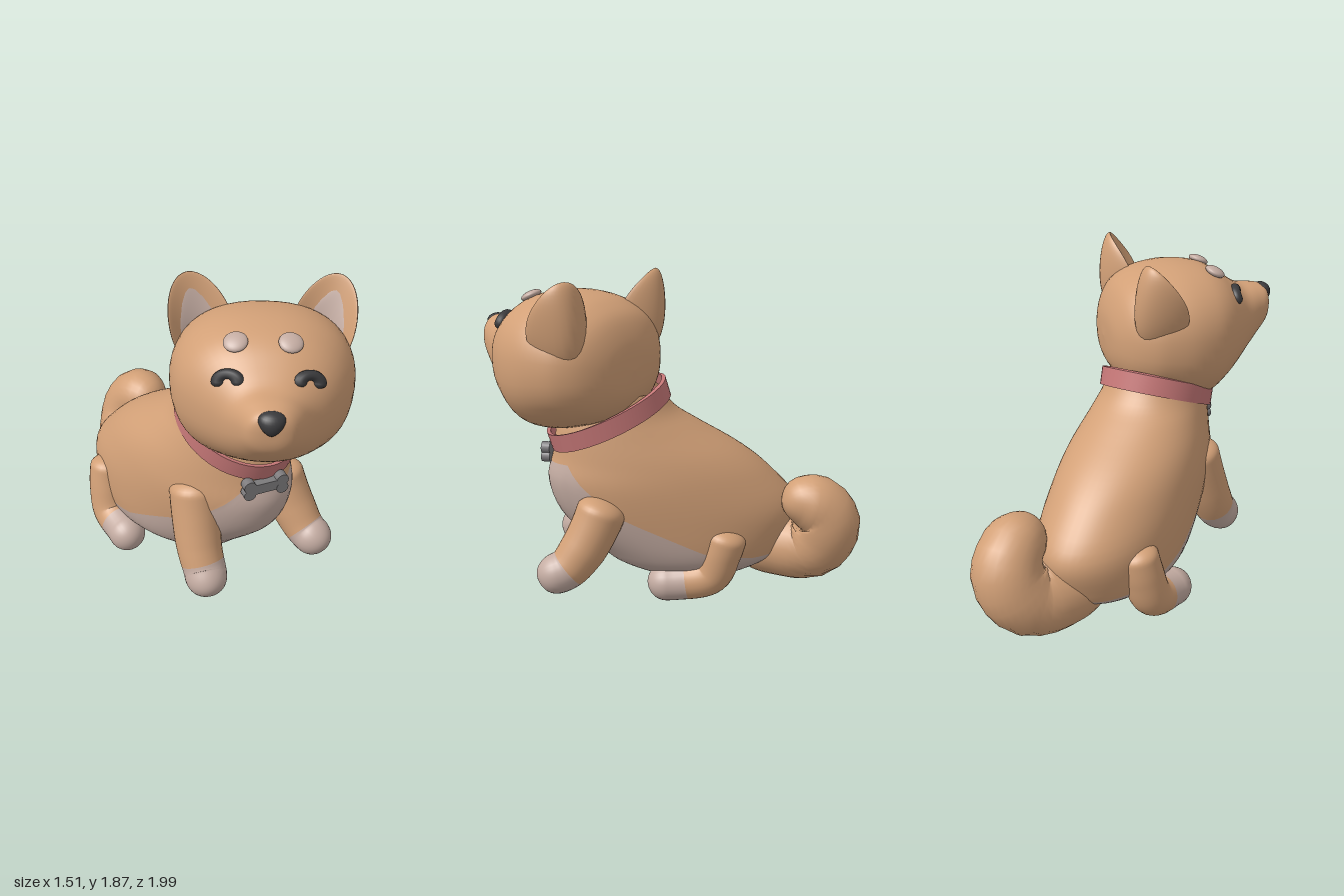
import * as THREE from 'three';
import { toCreasedNormals } from 'three/addons/utils/BufferGeometryUtils.js';

const FUR = 0xd2a077, PALE = 0xc4aca2, DARK = 0x3a3a3c, PINK = 0xc77878, METAL = 0x7c7a7c;
const TAU = Math.PI * 2;
// Horizontal axes of the turned body: U runs tail to chest, V across
const U = new THREE.Vector3(Math.SQRT1_2, 0, Math.SQRT1_2);
const V = new THREE.Vector3(Math.SQRT1_2, 0, -Math.SQRT1_2);
const BODY_OFFSET = -0.078;

export function createModel() {
  const root = new THREE.Group();

  function add(name, geometry, color, parent = root) {
    const mesh = new THREE.Mesh(geometry, new THREE.MeshStandardMaterial({ color, side: THREE.DoubleSide }));
    mesh.name = name;
    parent.add(mesh);
    return mesh;
  }

  // Closed rings from place(t, angle), t running 0..1
  function loft(place, rows, cols) {
    const pos = [], idx = [];
    for (let i = 0; i <= rows; i++)
      for (let j = 0; j < cols; j++) pos.push(...place(i / rows, (j / cols) * TAU).toArray());
    for (let i = 0; i < rows; i++)
      for (let j = 0; j < cols; j++) {
        const k = (j + 1) % cols, a = i * cols + j, b = i * cols + k;
        idx.push(a, b, b + cols, a, b + cols, a + cols);
      }
    const g = new THREE.BufferGeometry();
    g.setAttribute('position', new THREE.Float32BufferAttribute(pos, 3));
    g.setIndex(idx);
    g.computeVertexNormals();
    return g;
  }

  // Smooth lookup in a table of sections
  function sections(table) {
    const spline = new THREE.CubicInterpolant(table.map((_, i) => i), table.flat(), table[0].length);
    return t => Array.from(spline.evaluate(t));
  }

  const onBody = (s, v, y) => new THREE.Vector3(0, y, 0).addScaledVector(U, s).addScaledVector(V, v + BODY_OFFSET);

  // Body: horizontal ellipses [y, centre along U, half length, half width]
  const bodyAt = sections([
    [0.075, -0.25, 0, 0], [0.1, -0.25, 0.26, 0.18], [0.2, -0.24, 0.49, 0.32],
    [0.3, -0.22, 0.58, 0.375], [0.5, -0.145, 0.7, 0.39], [0.7, -0.03, 0.655, 0.385],
    [0.85, 0.045, 0.55, 0.36], [1.0, 0.155, 0.415, 0.315], [1.1, 0.21, 0.32, 0.285], [1.22, 0.24, 0.26, 0.26],
  ]);
  const bodyPoint = (t, a) => {
    const [y, s, len, wid] = bodyAt(t);
    return onBody(s + len * Math.cos(a), wid * Math.sin(a), y);
  };
  // Edge between back fur and pale belly, by angle from the chest in steps of 30 degrees
  const edge = [5.7, 5.85, 4.2, 3.2, 2.7, 2.5, 2.4];
  const edgeAt = a => {
    const k = Math.min(a, TAU - a) / (Math.PI / 6), i = Math.min(5, Math.floor(k));
    return THREE.MathUtils.lerp(edge[i], edge[i + 1], k - i);
  };
  add('bellyFur', loft((t, a) => bodyPoint(t * edgeAt(a), a), 24, 60), PALE);
  add('backFur', loft((t, a) => bodyPoint(THREE.MathUtils.lerp(edgeAt(a), 9, t), a), 28, 60), FUR);

  // Head: upright, slightly squared ovals [z, centre x, top, bottom, half width]
  const headAt = sections([
    [-0.045, 0.27, 1.38, 1.38, 0], [-0.03, 0.27, 1.52, 1.24, 0.19], [0.03, 0.27, 1.65, 1.14, 0.33],
    [0.12, 0.27, 1.72, 1.085, 0.42], [0.22, 0.27, 1.755, 1.05, 0.46], [0.36, 0.27, 1.772, 1.015, 0.472],
    [0.5, 0.27, 1.76, 1.01, 0.44], [0.6, 0.275, 1.725, 1.065, 0.385], [0.69, 0.285, 1.665, 1.125, 0.31],
    [0.78, 0.29, 1.61, 1.195, 0.22], [0.87, 0.3, 1.6, 1.28, 0.16], [0.94, 0.3, 1.585, 1.36, 0.115],
    [0.965, 0.3, 1.55, 1.42, 0.065], [0.97, 0.3, 1.49, 1.49, 0],
  ]);
  const squared = v => Math.sign(v) * Math.abs(v) ** 0.88;
  add('head', loft((t, a) => {
    const [z, x, top, bottom, w] = headAt(t * 13);
    return new THREE.Vector3(x + w * squared(Math.cos(a)), (top + bottom) / 2 + (top - bottom) / 2 * squared(Math.sin(a)), z);
  }, 52, 48), FUR);

  // Nose: ball narrowing downwards
  const noseGeo = new THREE.SphereGeometry(1, 24, 16), np = noseGeo.attributes.position;
  for (let i = 0; i < np.count; i++)
    np.setXYZ(i, np.getX(i) * 0.06 * (1 + 0.4 * np.getY(i)), np.getY(i) * 0.06, np.getZ(i) * 0.055);
  noseGeo.computeVertexNormals();
  add('nose', noseGeo, DARK).position.set(0.3, 1.535, 0.943);

  // Cupped ear from a flattened ball: domed back, shallower and narrower to the tip
  function earGeo(w, h, front, back, taper) {
    const g = new THREE.SphereGeometry(1, 32, 24), p = g.attributes.position;
    for (let i = 0; i < p.count; i++) {
      const y = p.getY(i), z = p.getZ(i);
      const x = p.getX(i) * w * (1 - taper * y);
      p.setXYZ(i, x, y * h, (z * (z > 0 ? front : back) + 4 * x * x) * (1 - 0.3 * y));
    }
    g.computeVertexNormals();
    return g;
  }

  for (const [side, label] of [[-1, 'right'], [1, 'left']]) {
    const ear = new THREE.Group();
    ear.name = label + 'Ear';
    ear.position.set(0.265 + side * 0.345, 1.635, 0.135);
    ear.rotation.set(-0.17, -side * 0.35, -side * 0.2);
    root.add(ear);
    add('outerEar', earGeo(0.165, 0.24, 0.025, 0.1, 0.08), FUR, ear);
    add('innerEar', earGeo(0.115, 0.19, 0.036, 0.01, 0.35), PALE, ear);

    const brow = add(label + 'Brow', new THREE.SphereGeometry(1, 24, 16), PALE);
    brow.scale.set(0.06, 0.025, 0.058);
    brow.position.set(0.262 + side * 0.13, 1.738, 0.572);
    brow.rotation.set(0.42, 0, -side * 0.12);

    // Closed smiling eye: thick arch with round ends
    const eye = new THREE.Group();
    eye.name = label + 'Eye';
    eye.position.set(0.29 + side * 0.19, 1.597, 0.697);
    eye.rotation.set(-0.4, side * 0.35, -side * 0.08);
    eye.scale.set(1.1, 0.8, 1);
    root.add(eye);
    add('eyeArch', new THREE.TorusGeometry(0.046, 0.031, 12, 24, Math.PI), DARK, eye);
    for (const x of [-0.046, 0.046])
      add('eyeCorner', new THREE.SphereGeometry(0.031, 12, 10), DARK, eye).position.x = x;
  }

  // Collar: tilted round band, low at the chest
  const band = [[0, -0.05], [0.022, -0.05], [0.022, 0.05], [0, 0.05], [0, -0.05]];
  add('collar', toCreasedNormals(loft((t, a) => {
    const [r, h] = band[Math.round(t * 4)];
    return onBody(0.275 + (0.315 + r) * Math.cos(a) + h * 0.3, 0.01 + (0.297 + r) * Math.sin(a), 1.08 + h - 0.15 * Math.cos(a));
  }, 4, 56), 0.6), PINK);

  // Bone tag
  const tag = new THREE.Group();
  tag.name = 'boneTag';
  tag.position.set(0.3, 0.855, 0.54);
  tag.rotation.set(0, 0.4, 0);
  root.add(tag);
  add('boneBar', new THREE.BoxGeometry(0.18, 0.06, 0.045), METAL, tag);
  for (const x of [-0.092, 0.092])
    for (const y of [-0.025, 0.025]) {
      const knob = add('boneKnob', new THREE.CylinderGeometry(0.034, 0.034, 0.05, 20), METAL, tag);
      knob.rotation.x = Math.PI / 2;
      knob.position.set(x, y, 0);
    }

  // Tapering limb with a blunt start and a round end; the part after split (0..1) is pale
  function limb(name, points, radii, split = 1) {
    const curve = new THREE.CatmullRomCurve3(points.map(p => new THREE.Vector3(...p)));
    const length = curve.getLength();
    const part = (from, to) => loft((t, a) => {
      const u = (1 - Math.cos(Math.PI * THREE.MathUtils.lerp(from, to, t))) / 2;
      const k = u * (radii.length - 1), q = Math.min(radii.length - 2, Math.floor(k));
      let r = THREE.MathUtils.lerp(radii[q], radii[q + 1], k - q);
      const d = Math.min(u / 0.6, 1 - u) * length;
      if (d < r) r *= Math.sqrt(1 - (1 - d / r) ** 2);
      const tangent = curve.getTangentAt(u);
      const normal = new THREE.Vector3().crossVectors(V, tangent).normalize();
      const binormal = new THREE.Vector3().crossVectors(tangent, normal);
      return curve.getPointAt(u)
        .addScaledVector(normal, r * Math.cos(a))
        .addScaledVector(binormal, r * Math.sin(a));
    }, 30, 28);
    add(name, part(0, split), FUR);
    if (split < 1) add(name + 'Paw', part(split, 1), PALE);
  }

  limb('rightFrontLeg', [[-0.08, 0.79, 0.39], [-0.07, 0.6, 0.45], [-0.045, 0.39, 0.53], [-0.01, 0.27, 0.6], [0.01, 0.22, 0.72]],
    [0.14, 0.135, 0.13, 0.12, 0.115], 0.64);
  limb('leftFrontLeg', [[0.38, 0.66, 0.08], [0.43, 0.52, 0.11], [0.5, 0.37, 0.16], [0.57, 0.27, 0.22], [0.68, 0.23, 0.33]],
    [0.14, 0.135, 0.13, 0.115, 0.11], 0.64);
  limb('rightRearLeg', [[-0.62, 0.52, -0.13], [-0.63, 0.34, -0.09], [-0.61, 0.18, -0.03], [-0.52, 0.135, 0.1], [-0.45, 0.135, 0.22]],
    [0.11, 0.115, 0.115, 0.11, 0.11], 0.61);
  limb('leftRearLeg', [[-0.08, 0.46, -0.43], [-0.06, 0.32, -0.4], [-0.04, 0.17, -0.34], [0.06, 0.115, -0.17], [0.16, 0.11, -0.04]],
    [0.12, 0.115, 0.115, 0.11, 0.105], 0.61);

  // Tail curling up and over
  limb('tail', [[-0.42, 0.26, -0.3], [-0.52, 0.25, -0.54], [-0.56, 0.28, -0.71], [-0.55, 0.42, -0.8],
    [-0.5, 0.54, -0.77], [-0.43, 0.575, -0.7], [-0.34, 0.58, -0.63]],
  [0.16, 0.19, 0.205, 0.205, 0.195, 0.165, 0.13]);

  return root;
}
